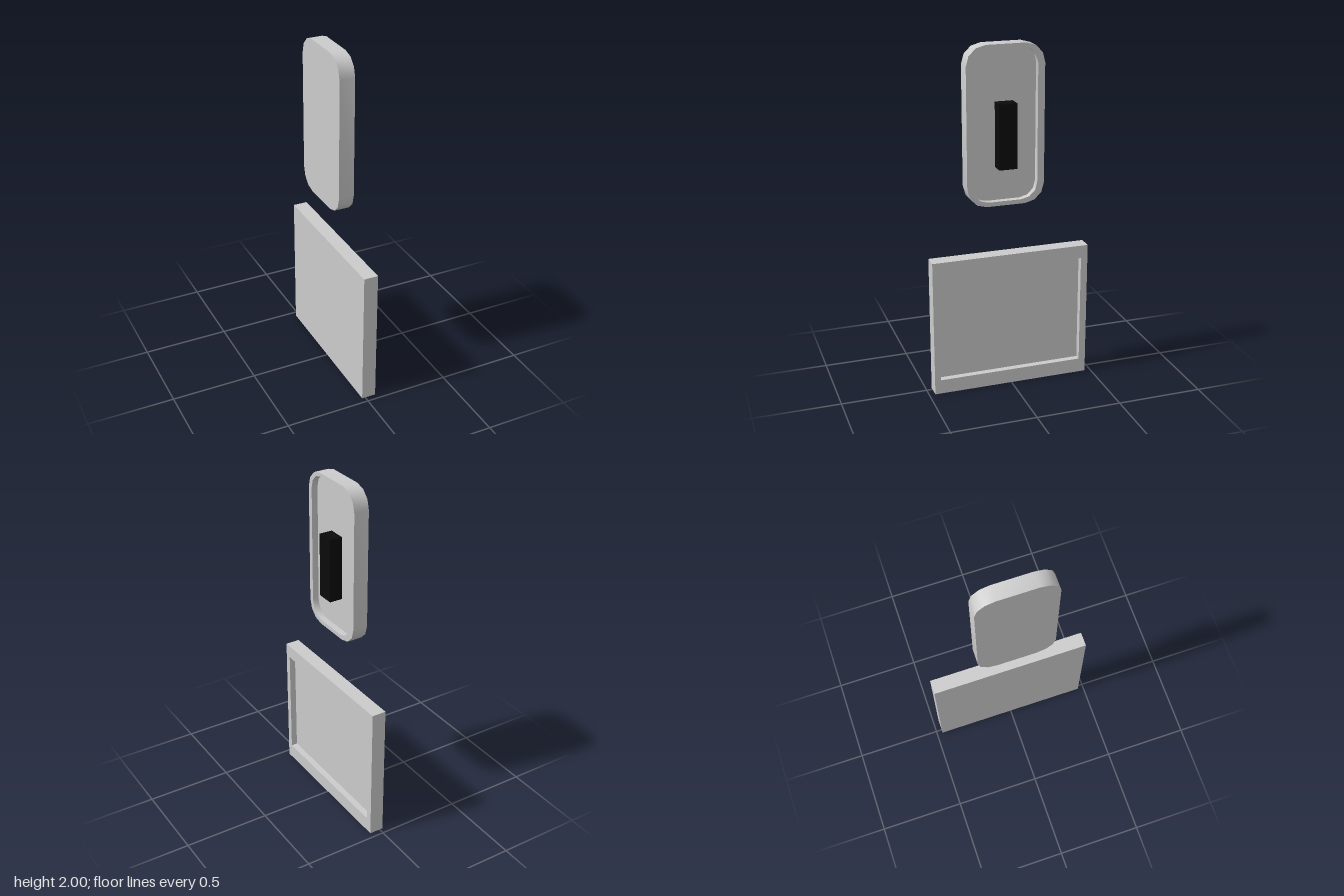
import * as THREE from 'three';
import { toCreasedNormals } from 'three/addons/utils/BufferGeometryUtils.js';

const grey = new THREE.MeshStandardMaterial({ color: 0xcccccc });
const black = new THREE.MeshStandardMaterial({ color: 0x0a0a0a });

// Counter-clockwise rectangle outline seen from +x, with optional rounded corners
function outline(x, z0, z1, y0, y1, r = 0, steps = 0) {
  const corners = [[z0 + r, y1 - r], [z1 - r, y1 - r], [z1 - r, y0 + r], [z0 + r, y0 + r]];
  const points = [];
  corners.forEach(([z, y], i) => {
    for (let s = 0; s <= steps; s++) {
      const a = (i + (steps ? s / steps : 0)) * Math.PI / 2;
      points.push(new THREE.Vector3(x, y + r * Math.cos(a), z - r * Math.sin(a) * 1));
    }
  });
  // corners start at the top of -z and turn towards -z, then on round: keep one winding
  return points;
}

// Shallow tray: skin through back, front, rim and recess outlines, closed at both ends
function tray(name, loops) {
  const pos = [];
  const tri = (...pts) => pts.forEach((p) => pos.push(p.x, p.y, p.z));
  const n = loops[0].length;
  for (let k = 0; k < loops.length - 1; k++) {
    for (let i = 0; i < n; i++) {
      const j = (i + 1) % n;
      const [a, b, c, d] = [loops[k][i], loops[k][j], loops[k + 1][j], loops[k + 1][i]];
      tri(a, b, c);
      tri(a, c, d);
    }
  }
  const back = loops[0], floor = loops[loops.length - 1];
  for (let i = 1; i < n - 1; i++) {
    tri(back[0], back[i + 1], back[i]);
    tri(floor[0], floor[i], floor[i + 1]);
  }
  const geometry = new THREE.BufferGeometry();
  geometry.setAttribute('position', new THREE.Float32BufferAttribute(pos, 3));
  const mesh = new THREE.Mesh(toCreasedNormals(geometry, 0.7), grey);
  mesh.name = name;
  return mesh;
}

// Outlines run counter-clockwise from +x: top (-z corner), +z corner, bottom
function ring(x, z0, z1, y0, y1, r, steps) {
  const points = [];
  const centres = [[z0 + r, y1 - r], [z1 - r, y1 - r], [z1 - r, y0 + r], [z0 + r, y0 + r]];
  centres.forEach(([z, y], i) => {
    for (let s = 0; s <= steps; s++) {
      const a = (i - 1 + (steps ? s / steps : 0)) * Math.PI / 2;
      points.push(new THREE.Vector3(x, y + r * Math.cos(a), z + r * Math.sin(a)));
    }
  });
  return points;
}

export function createModel() {
  const group = new THREE.Group();

  // Rounded upper panel with a raised rim
  const outer = [-0.205, 0.245, 1.093, 2, 0.113, 3];
  const inner = [-0.165, 0.216, 1.118, 1.98, 0.093, 3];
  group.add(tray('upperPanel', [
    ring(-0.066, ...outer), ring(0.023, ...outer), ring(0.023, ...inner), ring(-0.014, ...inner),
  ]));

  // Dark block standing out of the upper recess
  const block = new THREE.Mesh(new THREE.BoxGeometry(0.077, 0.37, 0.104), black);
  block.position.set(0.0245, 1.496, 0.02);
  block.name = 'darkBlock';
  group.add(block);

  // Square-cornered lower panel with a raised frame
  const frame = [-0.465, 0.465, 0, 0.81, 0, 0];
  const recess = [-0.425, 0.43, 0.085, 0.733, 0, 0];
  group.add(tray('lowerPanel', [
    ring(-0.02, ...frame), ring(0.064, ...frame), ring(0.064, ...recess), ring(0.027, ...recess),
  ]));

  return group;
}
